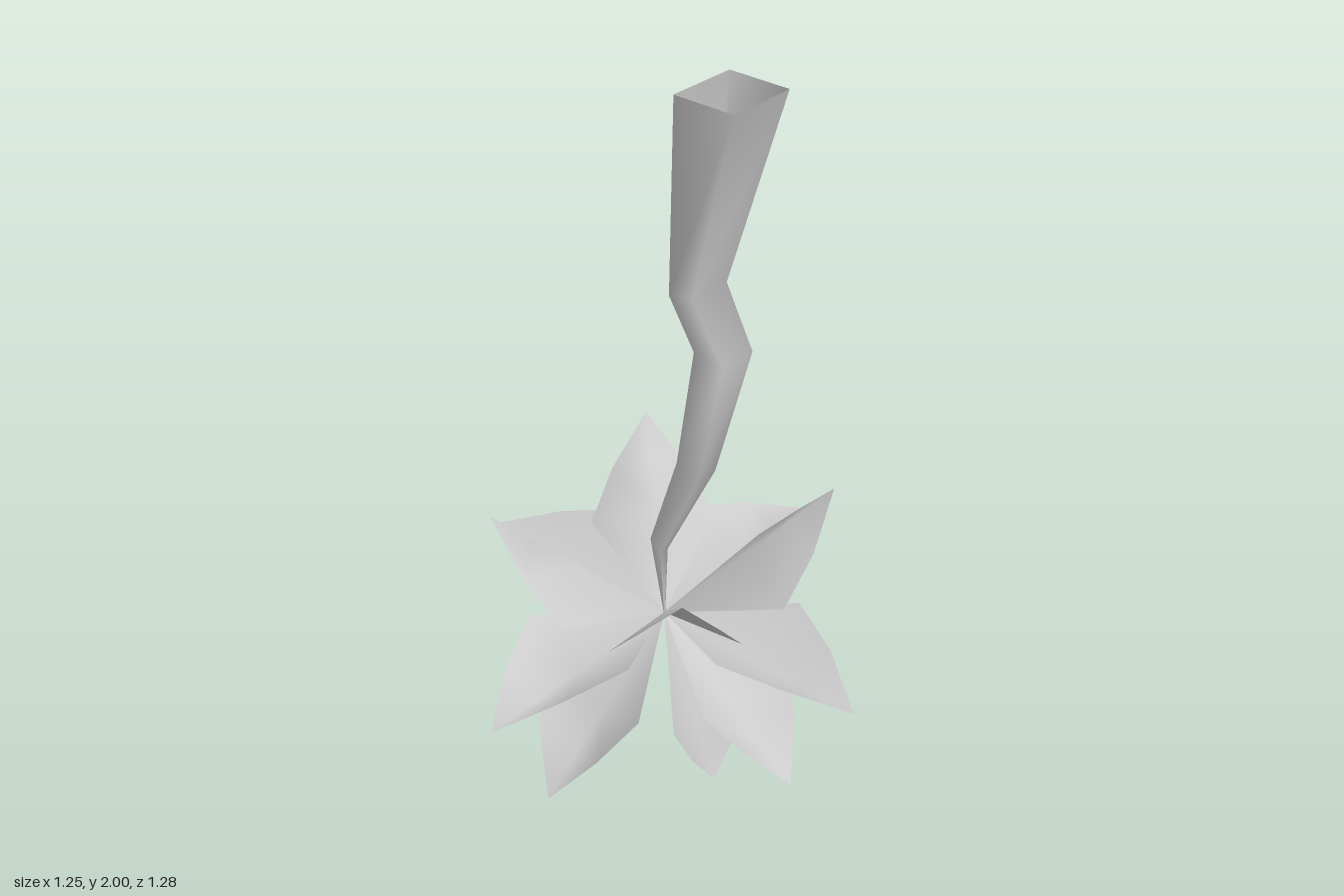
import * as THREE from 'three';

const material = new THREE.MeshStandardMaterial({ color: 0xcccccc, side: THREE.DoubleSide });
const CENTRE = new THREE.Vector3(0, 0.48, 0);

function build(name, positions, index) {
  const geometry = new THREE.BufferGeometry();
  geometry.setAttribute('position', new THREE.Float32BufferAttribute(positions, 3));
  geometry.setIndex(index);
  geometry.computeVertexNormals();
  const mesh = new THREE.Mesh(geometry, material);
  mesh.name = name;
  return mesh;
}

// Folded leaf: straight midrib from the centre to a tip, with both edges lifted
// along the leaf's normal (lift = 1 folds upwards, -1 downwards).
function leaf(name, x, y, z, lift) {
  const rib = new THREE.Vector3(x, y - CENTRE.y, z);
  const side = new THREE.Vector3(z, 0, -x).normalize();
  const normal = new THREE.Vector3().crossVectors(rib, side).normalize().multiplyScalar(lift);
  const points = [CENTRE.clone()];
  // [distance along the midrib, half width, edge lift]
  for (const [s, w, h] of [[0.51, 0.168, 0.095], [0.755, 0.102, 0.058]]) {
    const mid = CENTRE.clone().addScaledVector(rib, s);
    for (const k of [-1, 0, 1]) {
      points.push(mid.clone().addScaledVector(side, k * w).addScaledVector(normal, Math.abs(k) * h));
    }
  }
  points.push(CENTRE.clone().add(rib));
  const index = [0, 1, 2, 0, 2, 3, 1, 4, 5, 1, 5, 2, 2, 5, 6, 2, 6, 3, 4, 7, 5, 5, 7, 6];
  return build(name, points.flatMap((p) => p.toArray()), index);
}

// Crooked square tube, open at the top
function stem() {
  // [left x, left y, right x, right y, half depth]
  const rings = [
    [0, 0.48, 0.002, 0.48, 0.002],
    [-0.035, 0.71, 0, 0.68, 0.014],
    [0.07, 1.0, 0.14, 0.975, 0.033],
    [0.14, 1.35, 0.23, 1.34, 0.054],
    [0.07, 1.48, 0.14, 1.49, 0.063],
    [0.11, 2, 0.28, 2, 0.095],
  ];
  const positions = [], index = [];
  rings.forEach(([lx, ly, rx, ry, d], i) => {
    positions.push(lx, ly, d, rx, ry, d, rx, ry, -d, lx, ly, -d);
    if (i === 0) return;
    for (let k = 0; k < 4; k++) {
      const a = (i - 1) * 4 + k, b = (i - 1) * 4 + (k + 1) % 4;
      index.push(a, b, b + 4, a, b + 4, a + 4);
    }
  });
  return build('stem', positions, index);
}

export function createModel() {
  const group = new THREE.Group();
  group.name = 'plant';
  group.add(stem());

  // Flat and drooping leaves along the four main directions
  for (const [dx, dz] of [[1, 0], [-1, 0], [0, 1], [0, -1]]) {
    group.add(leaf('flatLeaf', dx * 0.623, 0.48, dz * 0.64, 1));
    group.add(leaf('droopingLeaf', dx * 0.44, 0.135, dz * 0.455, 1));
  }

  // Raised diagonal leaves
  for (const [x, z] of [[0.32, 0.3], [-0.29, 0.335], [-0.33, -0.3], [0.285, -0.34]]) {
    group.add(leaf('raisedLeaf', x, 0.83, z, -1));
  }

  // Two steep hanging leaves
  group.add(leaf('hangingLeaf', 0.18, 0, 0, 1));
  group.add(leaf('hangingLeaf', -0.113, 0, 0.145, 1));
  return group;
}
